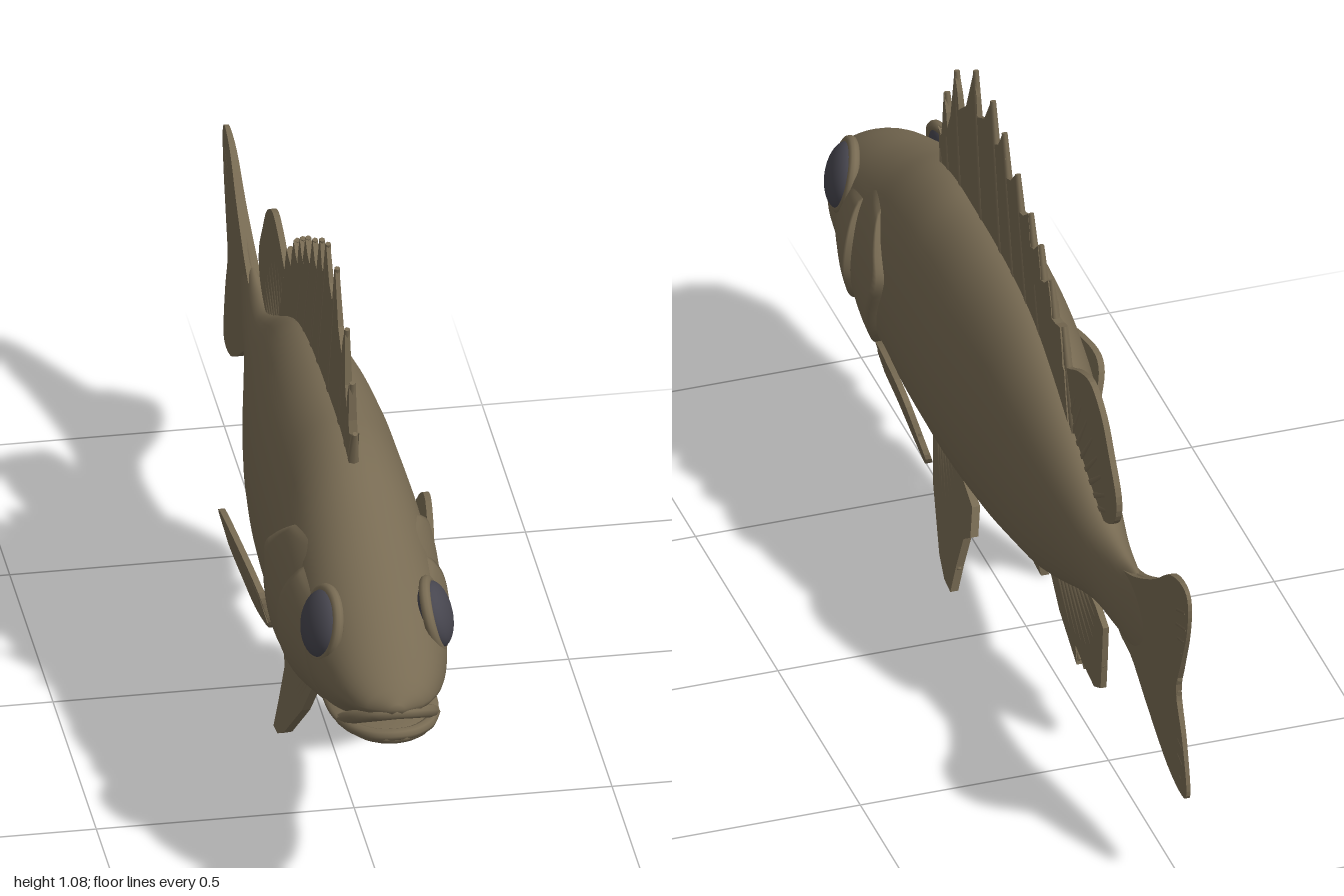
import * as THREE from 'three';
import { mergeGeometries } from 'three/addons/utils/BufferGeometryUtils.js';

const skin = new THREE.MeshStandardMaterial({ color: 0x786b53 });
skin.name = 'olive skin';
const eyeDark = new THREE.MeshStandardMaterial({ color: 0x47464f });
eyeDark.name = 'dark eye';

// Cross-sections from tail to head: z, bottom, top, half width, height of widest point
const BODY = [
  [-0.80, 0.43, 0.46, 0.004, 0.445], [-0.70, 0.365, 0.53, 0.018, 0.445], [-0.60, 0.36, 0.53, 0.033, 0.445],
  [-0.50, 0.355, 0.54, 0.046, 0.45], [-0.40, 0.325, 0.585, 0.063, 0.46], [-0.30, 0.285, 0.64, 0.081, 0.47],
  [-0.20, 0.25, 0.695, 0.099, 0.48], [-0.10, 0.235, 0.74, 0.116, 0.49], [0, 0.226, 0.765, 0.13, 0.49],
  [0.15, 0.224, 0.78, 0.143, 0.49], [0.30, 0.23, 0.782, 0.147, 0.49], [0.40, 0.245, 0.78, 0.149, 0.49],
  [0.50, 0.268, 0.76, 0.15, 0.49], [0.60, 0.298, 0.72, 0.148, 0.49], [0.70, 0.335, 0.677, 0.14, 0.5],
  [0.80, 0.37, 0.635, 0.13, 0.49], [0.87, 0.405, 0.602, 0.113, 0.49], [0.92, 0.444, 0.572, 0.094, 0.49],
  [0.96, 0.464, 0.543, 0.07, 0.49], [0.985, 0.474, 0.522, 0.044, 0.495], [0.997, 0.484, 0.507, 0.015, 0.495],
];
const JAW = [
  [0.66, 0.335, 0.42, 0.09, 0.38], [0.78, 0.363, 0.432, 0.107, 0.41], [0.88, 0.389, 0.438, 0.1, 0.42],
  [0.94, 0.4, 0.44, 0.078, 0.425], [0.975, 0.41, 0.44, 0.052, 0.427], [0.992, 0.42, 0.437, 0.02, 0.428],
];

const sampler = (table) => {
  const f = new THREE.CubicInterpolant(table.map((r) => r[0]), table.flatMap((r) => r.slice(1)), 4);
  return (z) => [...f.evaluate(z)];
};
const bodyAt = sampler(BODY);

// Half width of the body surface at a given length and height
function bodyX(z, y) {
  const [b, t, w, c] = bodyAt(z);
  const k = Math.min(0.97, Math.abs(y - c) / (y > c ? t - c : c - b));
  return w * Math.sqrt(1 - k * k);
}

function meshGeometry(pos, idx) {
  const g = new THREE.BufferGeometry();
  g.setAttribute('position', new THREE.Float32BufferAttribute(pos, 3));
  g.setIndex(idx);
  g.computeVertexNormals();
  return g;
}

// Closed smooth skin through interpolated oval sections
function loft(table, rows, sides = 40) {
  const at = sampler(table), z0 = table[0][0], z1 = table.at(-1)[0], pos = [], idx = [];
  for (let i = -1; i <= rows + 1; i++) {
    const z = z0 + (z1 - z0) * Math.min(1, Math.max(0, i / rows));
    const [b, t, w, c] = at(z), s = i < 0 || i > rows ? 0 : 1;
    for (let j = 0; j < sides; j++) {
      const a = (j / sides) * Math.PI * 2, k = Math.cos(a);
      pos.push(s * w * Math.sin(a), c + s * k * (k > 0 ? t - c : c - b), z);
    }
  }
  for (let i = 0; i < rows + 2; i++) {
    for (let j = 0; j < sides; j++) {
      const a = i * sides + j, b = i * sides + ((j + 1) % sides);
      idx.push(a, a + sides, b, b, a + sides, b + sides);
    }
  }
  return meshGeometry(pos, idx);
}

const curve2 = (pts) => new THREE.CatmullRomCurve3(pts.map(([z, y]) => new THREE.Vector3(0, y, z)), false, 'centripetal');

// Raised plate hugging the body between a front and a back curve
function plate(front, back, lift, side) {
  const f = curve2(front), b = curve2(back), n = 32, m = 10, pos = [], idx = [], p = new THREE.Vector3();
  for (let i = 0; i <= n; i++) {
    for (let j = 0; j <= m + 1; j++) {
      const t = Math.min(1, j / m), u = i / n;
      p.lerpVectors(f.getPoint(u), b.getPoint(u), t);
      const h = j > m ? -0.012 : -0.004 + lift * Math.sin(t * Math.PI / 2) * Math.pow(Math.sin(Math.PI * u), 0.4);
      pos.push(side * (bodyX(p.z, p.y) + h), p.y, p.z);
    }
  }
  for (let i = 0; i < n; i++) {
    for (let j = 0; j <= m; j++) {
      const a = i * (m + 2) + j, c = a + 1, b2 = a + m + 2, d = b2 + 1;
      if (side > 0) idx.push(a, b2, c, c, b2, d);
      else idx.push(a, c, b2, c, d, b2);
    }
  }
  return meshGeometry(pos, idx);
}

// Tapered fin ray between two points
function ray(a, b, r0, r1) {
  const d = b.clone().sub(a), g = new THREE.CylinderGeometry(r1, r0, d.length(), 6);
  g.applyQuaternion(new THREE.Quaternion().setFromUnitVectors(new THREE.Vector3(0, 1, 0), d.normalize()));
  const mid = a.clone().add(b).multiplyScalar(0.5);
  return g.translate(mid.x, mid.y, mid.z).toNonIndexed();
}

// Thin fin from a (z, y) outline; offX places it sideways, thick gives its half thickness
function fin(outline, rays, { smooth = true, offX = () => 0, thick = () => 0.006, r = 0.01 } = {}) {
  const v = outline.map(([z, y]) => new THREE.Vector2(z, y));
  const shape = new THREE.Shape(smooth ? new THREE.SplineCurve(v).getPoints(v.length * 4) : v);
  const g = new THREE.ExtrudeGeometry(shape, { depth: 1, bevelEnabled: false });
  const p = g.attributes.position;
  for (let i = 0; i < p.count; i++) {
    const z = p.getX(i), y = p.getY(i), s = p.getZ(i) * 2 - 1;
    p.setXYZ(i, offX(z, y) - s * thick(z, y), y, z);
  }
  g.computeVertexNormals();
  const at = ([z, y]) => new THREE.Vector3(offX(z, y), y, z);
  return mergeGeometries([g.toNonIndexed(), ...rays.map(([a, b]) => ray(at(a), at(b), r, r * 0.45))]);
}

// Rays spreading from a base line to an edge curve
function fan(a, b, edge, n) {
  const c = curve2(edge);
  return Array.from({ length: n }, (_, i) => {
    const t = (i + 0.5) / n, e = c.getPointAt(t);
    return [[a[0] + (b[0] - a[0]) * t, a[1] + (b[1] - a[1]) * t], [e.z, e.y]];
  });
}

export function createModel() {
  const fish = new THREE.Group();
  fish.name = 'fish';
  const add = (name, geometry, material = skin) => {
    const m = new THREE.Mesh(geometry, material);
    m.name = name;
    fish.add(m);
    return m;
  };

  add('body', loft(BODY, 90));
  add('lowerJaw', loft(JAW, 24));

  // Lips
  const lip = (pts, r) => new THREE.TubeGeometry(
    new THREE.CatmullRomCurve3(pts.map((p) => new THREE.Vector3(...p))), 32, r, 8);
  add('upperLip', lip([[-0.088, 0.425, 0.89], [-0.07, 0.456, 0.94], [-0.035, 0.478, 0.977], [0, 0.484, 0.986],
    [0.035, 0.478, 0.977], [0.07, 0.456, 0.94], [0.088, 0.425, 0.89]], 0.013));
  add('lowerLip', lip([[-0.09, 0.425, 0.89], [-0.07, 0.43, 0.942], [-0.035, 0.433, 0.975], [0, 0.435, 0.984],
    [0.035, 0.433, 0.975], [0.07, 0.43, 0.942], [0.09, 0.425, 0.89]], 0.012));

  // Spiny dorsal fin: tips with notches behind them
  const tips = [[0.51, 0.83], [0.48, 0.925], [0.42, 1.01], [0.305, 1.08], [0.20, 1.075], [0.13, 1.045], [0.05, 1.0],
    [-0.03, 0.96], [-0.09, 0.925], [-0.155, 0.885], [-0.23, 0.825]];
  const notches = [[0.49, 0.82], [0.455, 0.86], [0.39, 0.94], [0.28, 0.99], [0.18, 0.99], [0.105, 0.96], [0.03, 0.93],
    [-0.045, 0.895], [-0.11, 0.86], [-0.18, 0.815], [-0.25, 0.75]];
  const spiny = [[0.47, 0.74]];
  tips.forEach((t, i) => {
    const n = notches[i], next = tips[i + 1] ?? [-0.27, 0.73];
    spiny.push(t, [t[0] * 0.3 + n[0] * 0.7, t[1] * 0.45 + n[1] * 0.55], n,
      [n[0] * 0.5 + next[0] * 0.5, n[1] * 0.75 + next[1] * 0.25]);
  });
  spiny.push([-0.3, 0.6], [-0.1, 0.69], [0.2, 0.74]);
  const spines = tips.map(([z, y], i) => {
    const base = z - Math.min(0.08, 0.025 + i * 0.012);
    return [[base, bodyAt(base)[1] - 0.02], [z, y]];
  });
  add('spinyDorsalFin', fin(spiny, spines, {
    smooth: false, r: 0.013, thick: (z, y) => Math.max(0.004, 0.01 - (y - 0.75) * 0.02) }));

  // Soft dorsal fin
  add('softDorsalFin', fin([[-0.18, 0.66], [-0.23, 0.735], [-0.28, 0.76], [-0.34, 0.79], [-0.41, 0.805], [-0.475, 0.77],
    [-0.52, 0.71], [-0.565, 0.635], [-0.55, 0.575], [-0.48, 0.54], [-0.4, 0.54], [-0.28, 0.61], [-0.18, 0.66]],
  fan([-0.24, 0.66], [-0.46, 0.54], [[-0.28, 0.75], [-0.41, 0.79], [-0.5, 0.725], [-0.55, 0.62], [-0.53, 0.57]], 9)));

  // Tail fin
  add('tailFin', fin([[-0.6, 0.51], [-0.69, 0.54], [-0.8, 0.6], [-0.89, 0.665], [-0.965, 0.682], [-0.995, 0.655],
    [-0.985, 0.58], [-0.95, 0.49], [-0.927, 0.42], [-0.96, 0.335], [-0.985, 0.235], [-0.965, 0.205], [-0.88, 0.225],
    [-0.77, 0.29], [-0.68, 0.35], [-0.6, 0.38], [-0.6, 0.51]],
  fan([-0.64, 0.51], [-0.64, 0.38], [[-0.94, 0.67], [-0.98, 0.62], [-0.95, 0.5], [-0.93, 0.42], [-0.96, 0.3], [-0.95, 0.22]], 13),
  { thick: (z) => Math.max(0.004, 0.015 + (z + 0.62) * 0.03), r: 0.013 }));

  // Anal fin
  add('analFin', fin([[-0.14, 0.27], [-0.16, 0.235], [-0.22, 0.175], [-0.325, 0.115], [-0.318, 0.155], [-0.36, 0.142],
    [-0.43, 0.13], [-0.47, 0.15], [-0.478, 0.22], [-0.485, 0.295], [-0.44, 0.318], [-0.36, 0.335], [-0.25, 0.3]],
  fan([-0.18, 0.27], [-0.36, 0.33], [[-0.31, 0.125], [-0.43, 0.14], [-0.468, 0.17], [-0.475, 0.29]], 8),
  { smooth: false, r: 0.011 }));

  for (const side of [1, -1]) {
    const label = side > 0 ? 'left' : 'right';

    // Eye set in a soft socket
    const eye = add(label + 'Eye', new THREE.SphereGeometry(0.066, 32, 20), eyeDark);
    eye.scale.x = 0.5;
    const socket = add(label + 'EyeSocket', new THREE.TorusGeometry(0.066, 0.011, 10, 36).rotateY(Math.PI / 2));
    for (const m of [eye, socket]) {
      m.position.set(side * (m === eye ? 0.11 : 0.106), 0.575, 0.78);
      m.rotation.set(0, -side * 0.2, side * 0.25);
    }

    // Cheek and gill cover
    add(label + 'Cheek', plate([[0.72, 0.6], [0.76, 0.5], [0.8, 0.44], [0.82, 0.42]],
      [[0.63, 0.62], [0.6, 0.54], [0.605, 0.45], [0.65, 0.38], [0.74, 0.37]], 0.024, side));
    add(label + 'GillCover', plate([[0.62, 0.67], [0.66, 0.6], [0.68, 0.52], [0.69, 0.45], [0.7, 0.4], [0.74, 0.36]],
      [[0.53, 0.655], [0.465, 0.6], [0.425, 0.555], [0.455, 0.47], [0.5, 0.385], [0.57, 0.325], [0.66, 0.335]], 0.021, side));

    // Pectoral fin
    add(label + 'PectoralFin', fin([[0.41, 0.4], [0.4, 0.44], [0.325, 0.467], [0.19, 0.487], [0.13, 0.47], [0.105, 0.41],
      [0.09, 0.36], [0.14, 0.32], [0.2, 0.292], [0.325, 0.32], [0.4, 0.36], [0.41, 0.4]],
    fan([0.4, 0.42], [0.4, 0.37], [[0.2, 0.475], [0.135, 0.46], [0.1, 0.37], [0.2, 0.302]], 8),
    { offX: (z, y) => side * (0.165 + 0.3 * (y - 0.4) + 0.08 * (0.25 - z)), r: 0.009 }));

    // Pelvic fin
    add(label + 'PelvicFin', fin([[0.4, 0.26], [0.385, 0.215], [0.34, 0.135], [0.245, 0.035], [0.2, 0.008], [0.16, 0.003],
      [0.158, 0.06], [0.15, 0.125], [0.12, 0.145], [0.14, 0.2], [0.22, 0.225], [0.3, 0.26]],
    fan([0.38, 0.24], [0.31, 0.25], [[0.25, 0.05], [0.165, 0.015], [0.16, 0.12], [0.14, 0.18]], 7),
    { smooth: false, offX: (z, y) => side * (0.092 - 0.19 * y), r: 0.011, thick: () => 0.008 }));
  }
  return fish;
}
